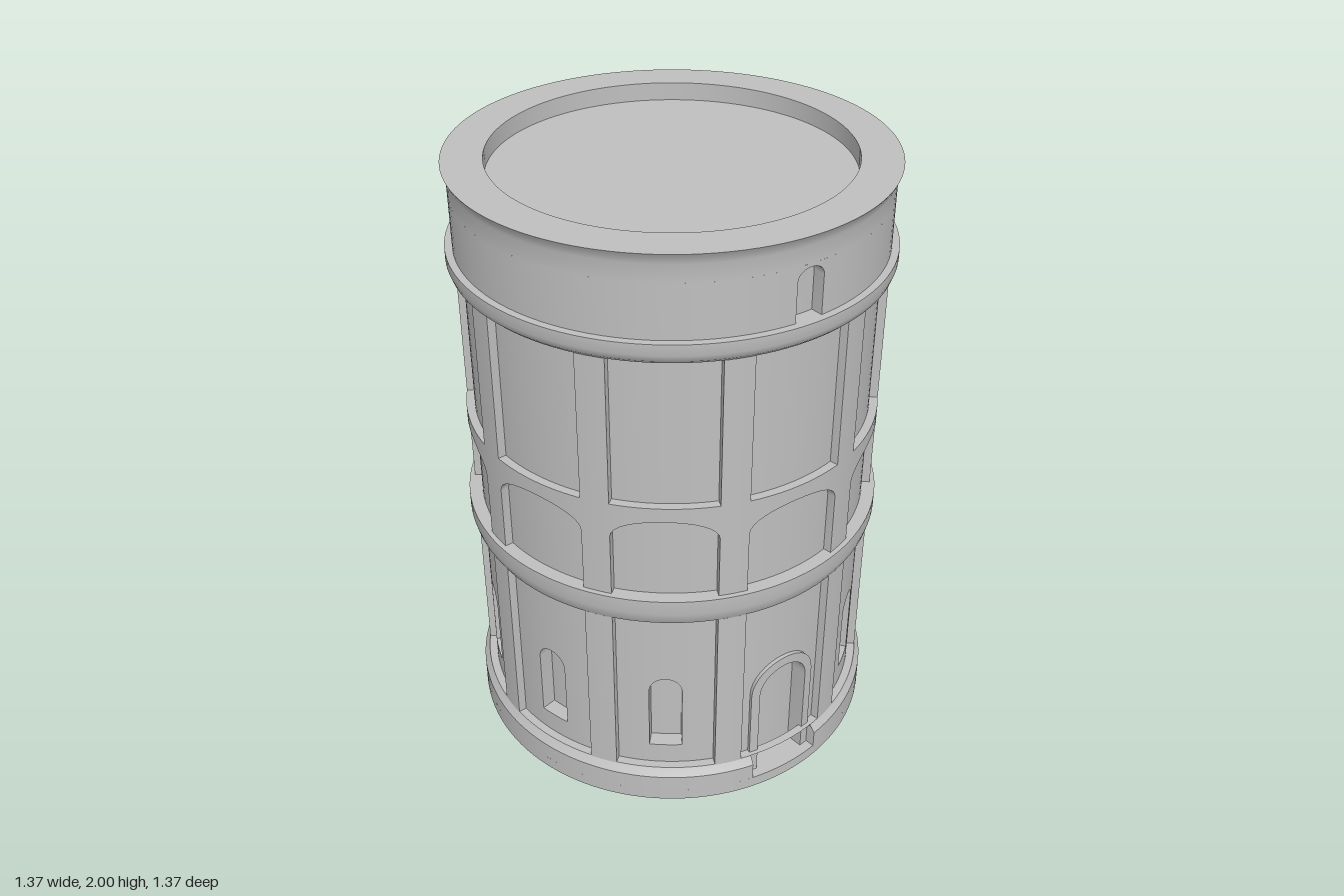
import * as THREE from 'three';
import { toCreasedNormals, mergeGeometries } from 'three/addons/utils/BufferGeometryUtils.js';
import { ParametricGeometry } from 'three/addons/geometries/ParametricGeometry.js';

const N = 16, BAYS = 10, STEP = (Math.PI * 2) / BAYS;
const PANEL = 0.246;                 // half angle of a recessed panel
const WALL = 0.635, OUTER = 0.662;   // wall and pilaster radii
const DOOR = 0.19;                   // half angle of the door frame

const stone = new THREE.MeshStandardMaterial({ color: 0xbfbfbf });
stone.name = 'stone';

const setPolar = (v, t, y, r) => v.set(r * Math.sin(t), y, r * Math.cos(t));
const spaced = (u) => -Math.cos(Math.PI * u);   // -1..1, denser at the ends

// Curved face between a lower and an upper edge (numbers or functions of angle)
function band(t0, t1, lo, hi, r) {
  const at = (e, t) => (typeof e === 'function' ? e(t) : e);
  return new ParametricGeometry((u, v, p) => {
    const t = (t0 + t1) / 2 + ((t1 - t0) / 2) * spaced(u);
    setPolar(p, t, THREE.MathUtils.lerp(at(lo, t), at(hi, t), v), r);
  }, N, 1);
}

// Ruled strip between two lists of [angle, y, radius]
function strip(a, b) {
  const n = a.length - 1;
  return new ParametricGeometry((u, v, p) => {
    const i = Math.min(n, Math.max(0, Math.round(u * n)));
    const [A, B] = [a[i], b[i]];
    setPolar(p, A[0] + (B[0] - A[0]) * v, A[1] + (B[1] - A[1]) * v, A[2] + (B[2] - A[2]) * v);
  }, n, 1);
}

// An opening: half angle w, sill y0, springing line and crown
function opening(w, y0, spring, top) {
  const arch = (t) => spring + (top - spring) * Math.sqrt(Math.max(0, 1 - (t / w) ** 2));
  const loop = (r) => {
    const pts = [];
    for (let i = 0; i <= N; i++) { const t = w * spaced(i / N); pts.push([t, arch(t), r]); }
    for (let i = 0; i <= N; i++) pts.push([-w * spaced(i / N), y0, r]);
    pts.push([...pts[0]]);
    return pts;
  };
  return { w, y0, arch, loop };
}

const reveal = (o, rOut, rIn) => strip(o.loop(rIn), o.loop(rOut));
const back = (o, r) => band(-o.w, o.w, o.y0, o.arch, r);

// Wall face with one opening left out
const pierced = (o, half, y0, y1, r) => [
  band(-half, -o.w, y0, y1, r),
  band(o.w, half, y0, y1, r),
  band(-o.w, o.w, o.arch, y1, r),
  band(-o.w, o.w, y0, o.y0, r),
];

function lathe(points, gap = 0) {
  return new THREE.LatheGeometry(points.map(([x, y]) => new THREE.Vector2(x, y)), 120, gap, Math.PI * 2 - 2 * gap);
}

function geometryOf(list) {
  const flat = list.map((g) => {
    const n = g.index ? g.toNonIndexed() : g;
    n.deleteAttribute('uv');
    return n;
  });
  return toCreasedNormals(mergeGeometries(flat), 0.5);
}

function add(parent, name, ...geos) {
  const mesh = new THREE.Mesh(geometryOf(geos), stone);
  mesh.name = name;
  parent.add(mesh);
  return mesh;
}

export function createModel() {
  const tower = new THREE.Group();
  tower.name = 'tower';

  // Plinth, notched at the front for the doorway
  const cheek = [[DOOR, 0.12, 0.665], [DOOR, 0.1, 0.68], [DOOR, 0.04, 0.68]];
  const inner = cheek.map(([t, y]) => [t, y, 0.62]);
  const mirror = (pts) => pts.map(([t, y, r]) => [-t, y, r]).reverse();
  add(tower, 'plinth',
    lathe([[0, 0], [0.68, 0], [0.68, 0.04], [0.58, 0.04]]),
    lathe([[0.68, 0.04], [0.68, 0.1], [0.665, 0.12], [0.66, 0.128], [0.63, 0.128]], DOOR),
    strip(inner, cheek), strip(mirror(inner), mirror(cheek)));

  // Moulded courses
  add(tower, 'beltCourse', lathe([[0.63, 0.755], [0.662, 0.755], [0.672, 0.775], [0.678, 0.8], [0.678, 0.85], [0.63, 0.85]]));
  add(tower, 'cornice', lathe([[0.63, 1.672], [0.662, 1.672], [0.676, 1.685], [0.683, 1.705], [0.683, 1.74], [0.61, 1.74]]));

  // Ten bays
  const windowHole = opening(0.0835, 0.205, 0.44, 0.495);
  const frameHole = opening(DOOR, 0.04, 0.378, 0.5);
  const doorHole = opening(0.143, 0.04, 0.372, 0.465);
  const lowerPanel = opening(PANEL, 0.128, 0.755, 0.755);
  const archPanel = opening(PANEL, 0.85, 1.065, 1.137);
  const upperPanel = opening(PANEL, 1.185, 1.672, 1.672);
  const edge = STEP - PANEL;

  const shared = {
    upperWall: [band(-PANEL, PANEL, 0.85, 1.672, WALL)],
    pilaster: [band(PANEL, edge, 0.12, 0.755, OUTER), band(PANEL, edge, 0.85, 1.672, OUTER)],
    archSpandrel: [band(-PANEL, PANEL, archPanel.arch, 1.185, OUTER)],
    panelReveals: [lowerPanel, archPanel, upperPanel].map((o) => reveal(o, OUTER, WALL)),
  };
  const windowed = {
    lowerWall: pierced(windowHole, PANEL, 0.12, 0.755, WALL),
    window: [reveal(windowHole, WALL, 0.585), back(windowHole, 0.585)],
  };
  const doored = {
    lowerWall: pierced(frameHole, PANEL, 0.04, 0.755, WALL),
    doorFrame: [strip(doorHole.loop(0.648), frameHole.loop(0.648)), strip(frameHole.loop(0.648), frameHole.loop(WALL))],
    door: [reveal(doorHole, 0.648, 0.59), back(doorHole, 0.59)],
  };
  const build = (parts) => Object.entries(parts).map(([name, geos]) => [name, geometryOf(geos)]);
  const [common, plain, entrance] = [shared, windowed, doored].map(build);
  for (let i = 0; i < BAYS; i++) {
    const bay = new THREE.Group();
    bay.name = i === 0 ? 'entranceBay' : 'windowBay';
    for (const [name, geo] of [...common, ...(i === 0 ? entrance : plain)]) {
      const mesh = new THREE.Mesh(geo, stone);
      mesh.name = name;
      bay.add(mesh);
    }
    bay.rotation.y = i * STEP;
    tower.add(bay);
  }

  // Top drum with a small front niche, flared rim and sunken roof
  const niche = opening(0.068, 1.74, 1.865, 1.9);
  add(tower, 'drum',
    lathe([[0.66, 1.74], [0.66, 1.91]], niche.w),
    band(-niche.w, niche.w, niche.arch, 1.91, 0.66));
  add(tower, 'niche', reveal(niche, 0.66, 0.62), back(niche, 0.62));
  add(tower, 'crown', lathe([[0.66, 1.91], [0.66, 1.965], [0.666, 1.985], [0.675, 2], [0.55, 2], [0.55, 1.943], [0, 1.943]]));

  return tower;
}
